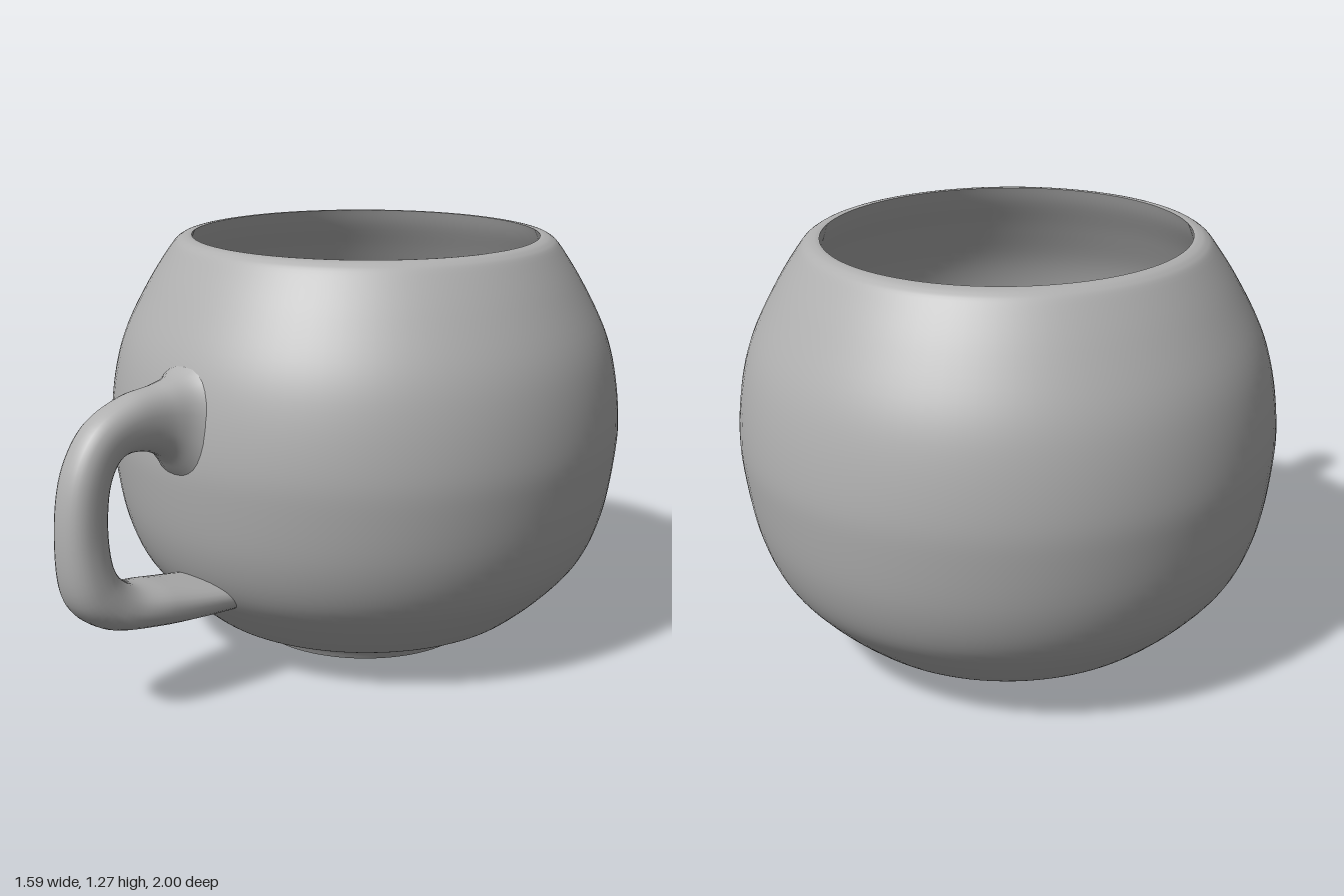
import * as THREE from 'three';

export function createModel() {
  const group = new THREE.Group();
  const glaze = new THREE.MeshStandardMaterial({ color: 0xb0b0b0 });
  glaze.name = 'grey glaze';

  const add = (name, geometry) => {
    const mesh = new THREE.Mesh(geometry, glaze);
    mesh.name = name;
    group.add(mesh);
    return mesh;
  };

  // Round parts, turned about the axis of the bowl
  const turned = (name, pts, steps) => {
    const vectors = pts.map(([r, y]) => new THREE.Vector2(r, y));
    const profile = steps ? new THREE.SplineCurve(vectors).getPoints(steps) : vectors;
    add(name, new THREE.LatheGeometry(profile, 96)).position.z = -0.205;
  };
  turned('base', [[0, 0], [0.345, 0]]);
  turned('outerWall', [
    [0.345, 0], [0.365, 0.03], [0.4, 0.052], [0.477, 0.075], [0.53, 0.105], [0.63, 0.195],
    [0.71, 0.295], [0.762, 0.43], [0.79, 0.6], [0.795, 0.72], [0.777, 0.865], [0.74, 0.99],
    [0.668, 1.13], [0.6, 1.235], [0.573, 1.262], [0.55, 1.27], [0.535, 1.27],
  ], 80);
  turned('innerWall', [
    [0.535, 1.27], [0.56, 1.215], [0.62, 1.11], [0.685, 0.98], [0.72, 0.85], [0.735, 0.71],
    [0.73, 0.6], [0.7, 0.44], [0.65, 0.33], [0.57, 0.23], [0.47, 0.155], [0.36, 0.12],
    [0.3, 0.09], [0.27, 0.05],
  ], 64);
  turned('innerFloor', [[0.27, 0.05], [0, 0.05]]);

  // Handle sections: outer z, outer y, inner z, inner y, half width
  const sections = [
    [0.49, 1.01, 0.55, 0.61, 0.17],
    [0.565, 0.955, 0.597, 0.67, 0.108],
    [0.64, 0.935, 0.65, 0.73, 0.08],
    [0.76, 0.92, 0.73, 0.76, 0.067],
    [0.89, 0.86, 0.795, 0.755, 0.063],
    [0.97, 0.74, 0.837, 0.7, 0.064],
    [0.998, 0.54, 0.857, 0.55, 0.07],
    [0.97, 0.365, 0.84, 0.445, 0.085],
    [0.89, 0.285, 0.78, 0.39, 0.1],
    [0.73, 0.25, 0.67, 0.365, 0.118],
    [0.47, 0.23, 0.52, 0.335, 0.13],
    [0.41, 0.23, 0.435, 0.32, 0.125],
  ];
  const curve = (f) => new THREE.CatmullRomCurve3(sections.map(f));
  const outer = curve(([z, y]) => new THREE.Vector3(0, y, z));
  const inner = curve(([, , z, y]) => new THREE.Vector3(0, y, z));
  const width = curve((s, i) => new THREE.Vector3(s[4], i, 0));

  const rings = 77, sides = 28;
  const soft = (v) => Math.sign(v) * Math.abs(v) ** 0.85;
  const positions = [], index = [];
  for (let i = 0; i <= rings; i++) {
    const t = i / rings;
    const o = outer.getPoint(t), n = inner.getPoint(t), w = width.getPoint(t).x;
    for (let j = 0; j < sides; j++) {
      const a = (j / sides) * Math.PI * 2;
      const p = n.clone().lerp(o, 0.5 + 0.5 * soft(Math.cos(a)));
      positions.push(w * soft(Math.sin(a)), p.y, p.z);
      if (i < rings) {
        const k = (j + 1) % sides, r = i * sides, q = r + sides;
        index.push(r + j, q + j, r + k, q + j, q + k, r + k);
      }
    }
  }
  const handle = new THREE.BufferGeometry();
  handle.setAttribute('position', new THREE.Float32BufferAttribute(positions, 3));
  handle.setIndex(index);
  handle.computeVertexNormals();
  add('handle', handle);

  return group;
}
